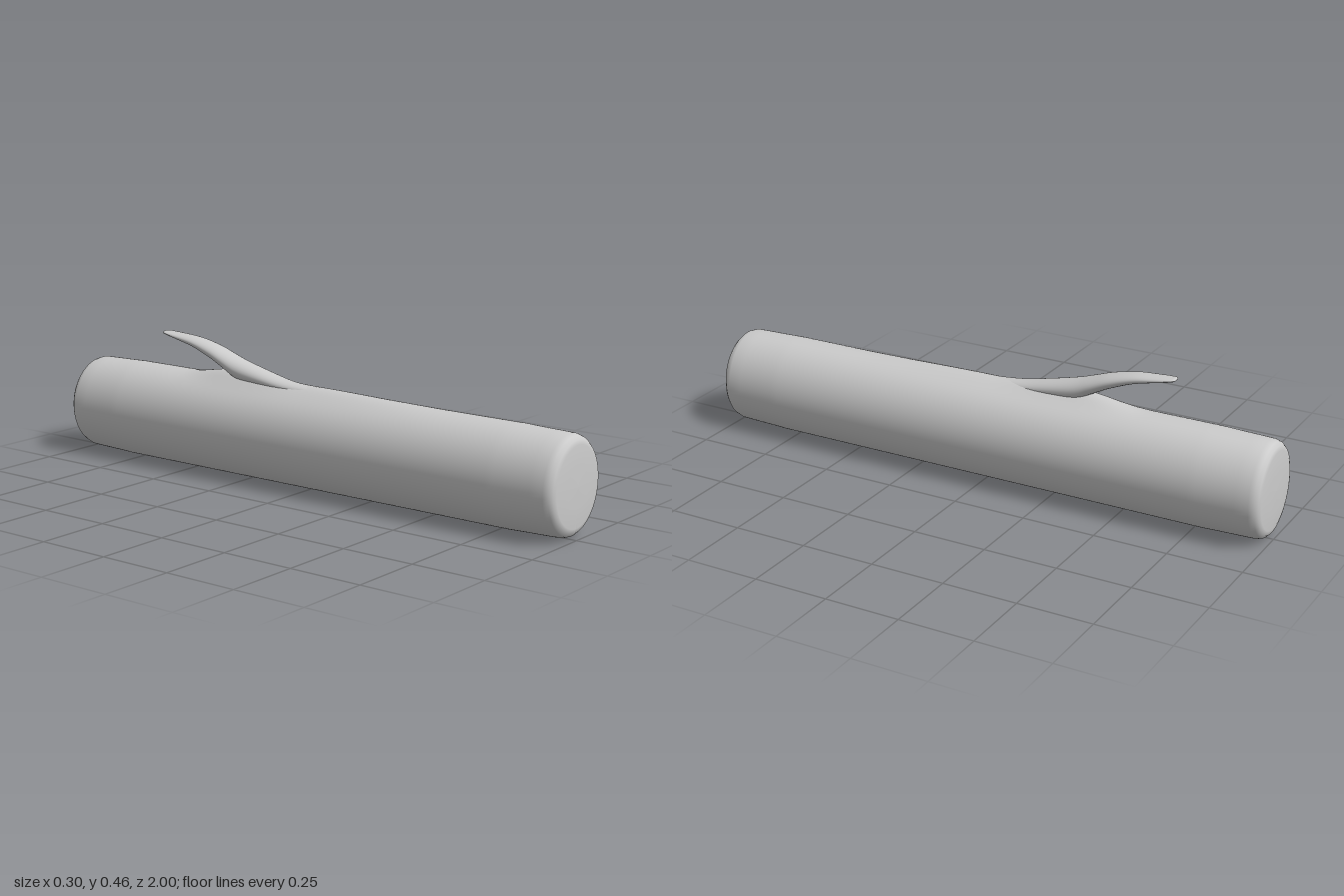
import * as THREE from 'three';

const material = new THREE.MeshStandardMaterial({ color: 0xcccccc });
const RX = 0.15, RY = 0.166, AXIS_Y = 0.166, BRANCH_X = -0.014;
const smooth = THREE.MathUtils.smoothstep;

// Height of the swelling along the top of the log where the branch grows out
function swelling(z) {
  const rise = 0.013 * smooth(-z, -0.6, 0) + 0.016 * smooth(-z, 0, 0.28);
  return rise * (1 - smooth(-z, 0.33, 0.56));
}

// Oval log: unit lathe along z, scaled to the oval and swollen under the branch
function makeLog() {
  const end = [[0, 1], [0.4, 0.999], [0.78, 0.997], [0.87, 0.993], [0.935, 0.982], [0.97, 0.965], [0.978, 0.92], [0.988, 0.85], [1, 0.79]];
  const profile = end.map(([r, z]) => new THREE.Vector2(r, -z));
  for (let i = 1; i < 60; i++) profile.push(new THREE.Vector2(1, -0.79 + (1.58 * i) / 60));
  for (const [r, z] of [...end].reverse()) profile.push(new THREE.Vector2(r, z));

  const geometry = new THREE.LatheGeometry(profile, 80);
  geometry.rotateX(Math.PI / 2);
  geometry.scale(RX, RY, 1);
  const p = geometry.attributes.position;
  for (let i = 0; i < p.count; i++) {
    const x = p.getX(i), y = p.getY(i), z = p.getZ(i);
    const bump = y > 0 ? swelling(z) * Math.exp(-(((x - BRANCH_X) / 0.045) ** 2)) : 0;
    p.setY(i, AXIS_Y + y + bump);
  }
  geometry.computeVertexNormals();
  return geometry;
}

// Branch stub: oval sections lofted backwards from inside the log to a flat tip
function makeBranch() {
  // z, centre height, half width, half height
  const sections = [
    [0.02, 0.32, 0.03, 0.02], [-0.1, 0.33, 0.036, 0.022], [-0.2, 0.345, 0.042, 0.028],
    [-0.3, 0.363, 0.046, 0.035], [-0.36, 0.387, 0.045, 0.03], [-0.42, 0.412, 0.042, 0.025],
    [-0.5, 0.436, 0.036, 0.018], [-0.58, 0.449, 0.03, 0.011], [-0.625, 0.455, 0.025, 0.007],
    [-0.64, 0.457, 0.018, 0.005], [-0.645, 0.457, 0.001, 0.001],
  ];
  const path = new THREE.CatmullRomCurve3(sections.map(([z, y]) => new THREE.Vector3(BRANCH_X, y, z)), false, 'catmullrom', 0.5);
  const sizes = new THREE.CatmullRomCurve3(sections.map(([, , w, h]) => new THREE.Vector3(w, h, 0)), false, 'catmullrom', 0.5);
  const rings = 50, sides = 28, positions = [], index = [];
  for (let i = 0; i <= rings; i++) {
    const c = path.getPoint(i / rings), s = sizes.getPoint(i / rings);
    const lean = -0.006 * smooth(-c.z, 0.35, 0.64);
    for (let j = 0; j < sides; j++) {
      const a = (j / sides) * Math.PI * 2;
      positions.push(c.x + lean + s.x * Math.cos(a), c.y + s.y * Math.sin(a), c.z);
      if (i < rings) {
        const k = (j + 1) % sides, p = i * sides, q = p + sides;
        index.push(p + j, q + j, p + k, p + k, q + j, q + k);
      }
    }
  }
  const geometry = new THREE.BufferGeometry();
  geometry.setAttribute('position', new THREE.Float32BufferAttribute(positions, 3));
  geometry.setIndex(index);
  geometry.computeVertexNormals();
  return geometry;
}

export function createModel() {
  const group = new THREE.Group();
  const add = (name, geometry) => {
    const mesh = new THREE.Mesh(geometry, material);
    mesh.name = name;
    group.add(mesh);
  };
  add('log', makeLog());
  add('branch', makeBranch());
  return group;
}
